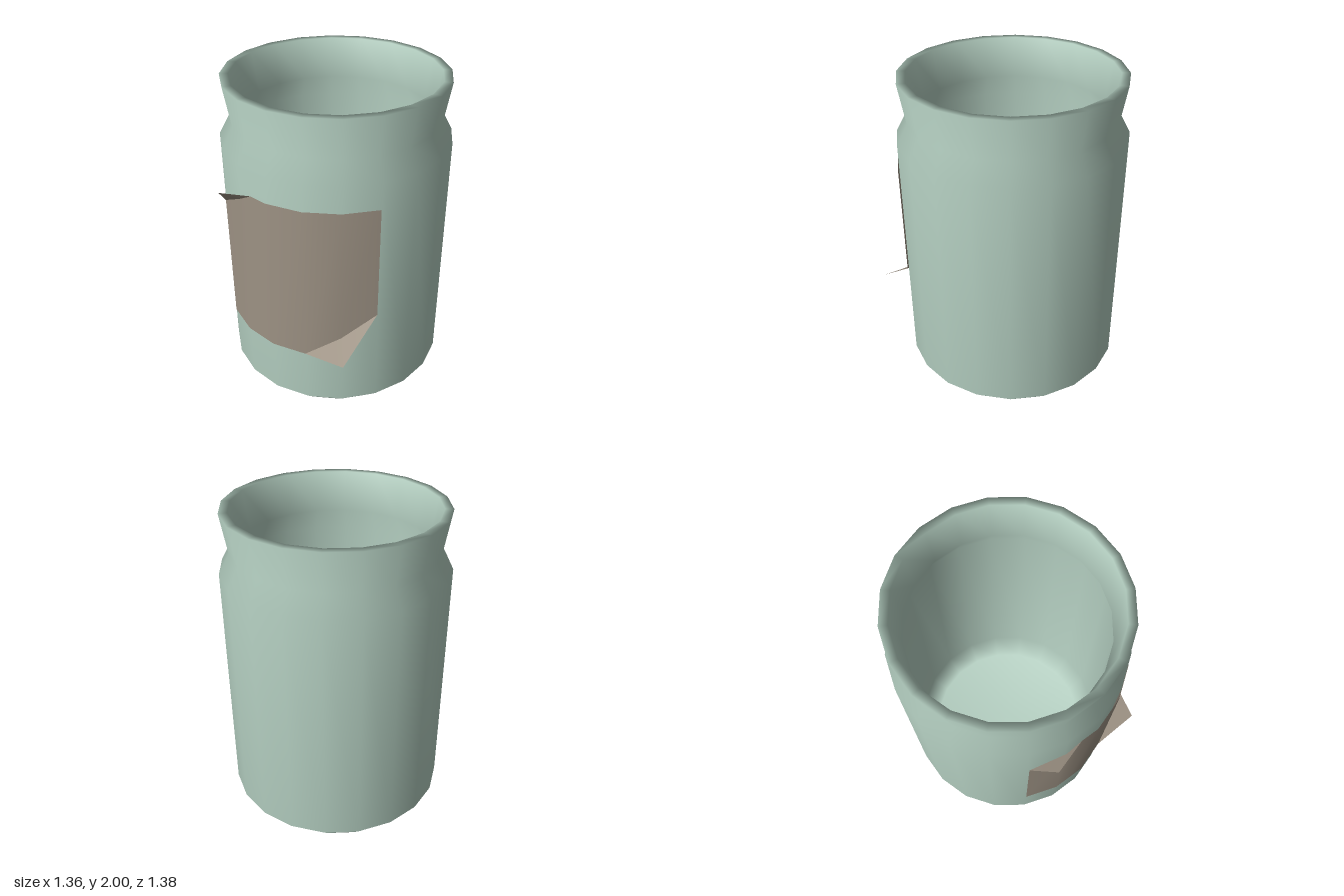
import * as THREE from 'three';

const SIDES = 20;
const STEP = (Math.PI * 2) / SIDES;
const LABEL_R = 0.68;

// Point of the 20-sided label outline at a given number of facet steps from the front
function onLabel(step, y) {
  const k = Math.floor(step), t = step - k;
  const at = (i) => new THREE.Vector3(LABEL_R * Math.sin(i * STEP), y, LABEL_R * Math.cos(i * STEP));
  return at(k).lerp(at(k + 1), t);
}

function meshFrom(points, index, material, name) {
  const geo = new THREE.BufferGeometry().setFromPoints(points);
  geo.setIndex(index);
  geo.computeVertexNormals();
  const mesh = new THREE.Mesh(geo, material);
  mesh.name = name;
  return mesh;
}

// Peeled corner: a fan from the loose tip to the cut edge of the label
function makeFlap(tip, edge, material, name) {
  const index = [];
  for (let i = 1; i < edge.length; i++) index.push(0, i, i + 1);
  return meshFrom([tip, ...edge], index, material, name);
}

export function createModel() {
  const model = new THREE.Group();
  const glass = new THREE.MeshStandardMaterial({ color: 0xb6d1c3 });
  const paper = new THREE.MeshStandardMaterial({ color: 0x9d9284, side: THREE.DoubleSide });

  // Jar: outer wall up to the flared rim, then the inner wall down to the floor
  const profile = [
    [0, 0], [0.55, 0], [0.68, 0.14], [0.68, 1.64], [0.615, 1.76], [0.655, 2],
    [0.605, 2], [0.565, 1.76], [0.63, 1.62], [0.63, 0.16], [0.53, 0.05], [0, 0.05],
  ].map(([r, y]) => new THREE.Vector2(r, y));
  const jar = new THREE.Mesh(new THREE.LatheGeometry(profile, SIDES), glass);
  jar.name = 'jar';
  jar.position.z = -0.0125;
  model.add(jar);

  // Label: strip of columns [facet step, bottom y, top y] with two cut corners
  const columns = [
    [-2, 0.5, 1.315], [-1, 0.5, 1.43], [-0.53, 0.5, 1.485], [0, 0.5, 1.485],
    [1, 0.5, 1.485], [2, 0.64, 1.485], [3, 0.78, 1.485],
  ];
  const points = [], index = [];
  columns.forEach(([s, y0, y1], i) => {
    points.push(onLabel(s, y0), onLabel(s, y1));
    if (i) {
      const a = 2 * i - 2;
      index.push(a, a + 2, a + 3, a, a + 3, a + 1);
    }
  });
  model.add(meshFrom(points, index, paper, 'label'));

  // Peeling corners
  const topEdge = columns.slice(0, 3).map(([s, , y]) => onLabel(s, y));
  model.add(makeFlap(new THREE.Vector3(-0.32, 1.455, 0.69), topEdge.reverse(), paper, 'upperPeeledCorner'));
  const lowEdge = columns.slice(4).map(([s, y]) => onLabel(s, y));
  model.add(makeFlap(new THREE.Vector3(0.5, 0.57, 0.685), lowEdge.reverse(), paper, 'lowerPeeledCorner'));

  return model;
}
